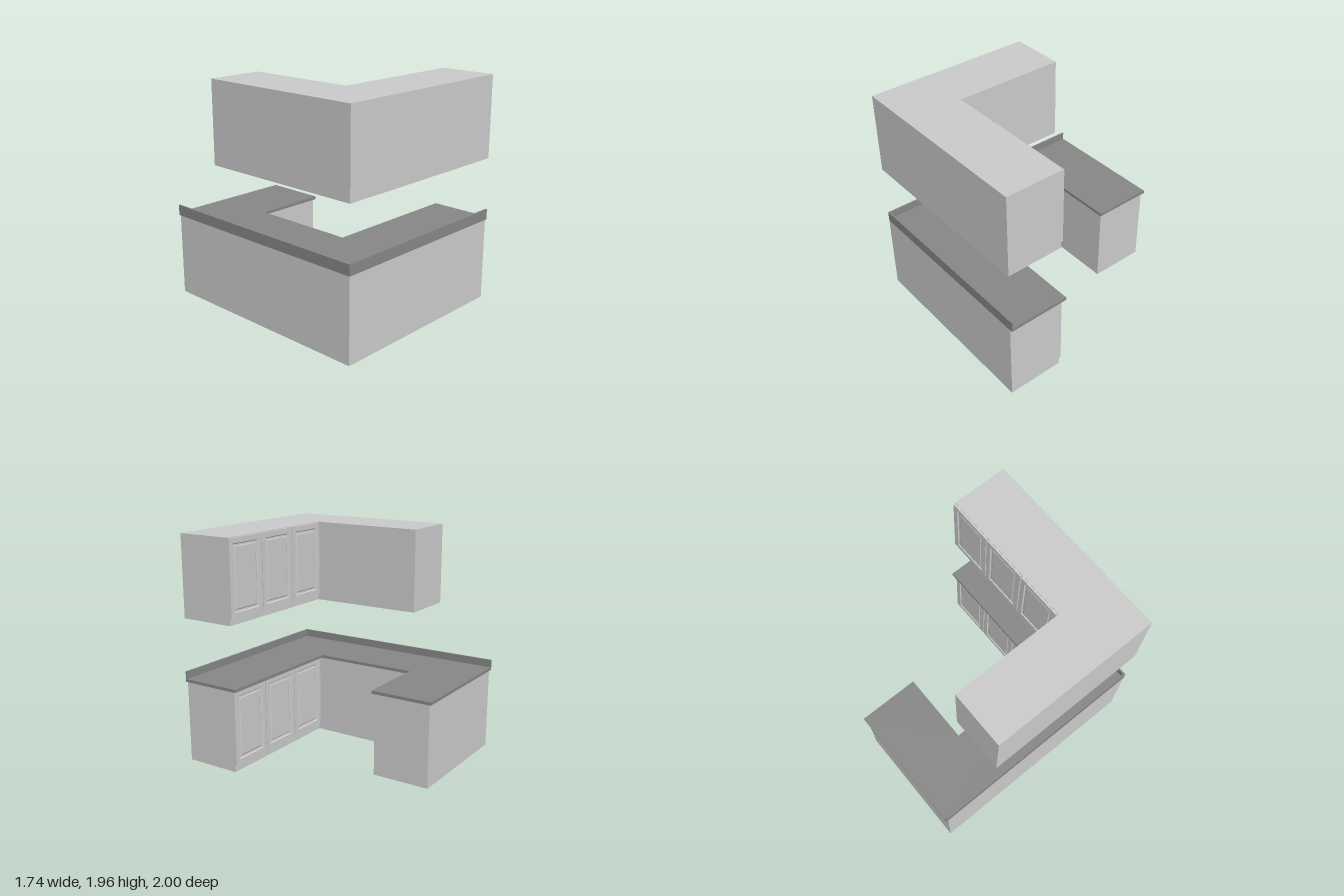
import * as THREE from 'three';

const grey = new THREE.MeshStandardMaterial({ color: 0xcccccc });
const dark = new THREE.MeshStandardMaterial({ color: 0x878787 });

function add(parent, name, geometry, material, x = 0, y = 0, z = 0) {
  const mesh = new THREE.Mesh(geometry, material);
  mesh.name = name;
  mesh.position.set(x, y, z);
  parent.add(mesh);
  return mesh;
}

// Solid from a floor plan of [x, z] corners
function prism(plan, height) {
  const shape = new THREE.Shape(plan.map(([x, z]) => new THREE.Vector2(x, -z)));
  return new THREE.ExtrudeGeometry(shape, { depth: height, bevelEnabled: false }).rotateX(-Math.PI / 2);
}

// Door of nested rectangular rings [inset, depth], closed by a flat panel; faces -z
function doorGeometry(w, h, thickness) {
  const rings = [
    [0, 0], [0, thickness], [0.045, thickness], [0.052, thickness - 0.009],
    [0.066, thickness - 0.009], [0.074, thickness - 0.005],
  ];
  const corners = [[-1, -1], [1, -1], [1, 1], [-1, 1]];
  const pos = [], index = [];
  for (const [inset, d] of rings)
    for (const [sx, sy] of corners) pos.push(sx * (w / 2 - inset), sy * (h / 2 - inset), d);
  for (let r = 0; r < rings.length - 1; r++)
    for (let i = 0; i < 4; i++) {
      const a = r * 4 + i, b = r * 4 + (i + 1) % 4;
      index.push(a, b, b + 4, a, b + 4, a + 4);
    }
  const c = (rings.length - 1) * 4;
  index.push(c, c + 1, c + 2, c, c + 2, c + 3);
  const indexed = new THREE.BufferGeometry();
  indexed.setAttribute('position', new THREE.Float32BufferAttribute(pos, 3));
  indexed.setIndex(index);
  const geometry = indexed.toNonIndexed().rotateY(Math.PI);
  geometry.computeVertexNormals();
  return geometry;
}

// Row of three doors along the inner face of the front run
function doorRow(parent, name, yBottom, yTop) {
  const row = new THREE.Group();
  row.name = name;
  const pitch = 0.4083, gap = 0.009, h = yTop - yBottom;
  const geometry = doorGeometry(pitch - gap, h, 0.018);
  for (let i = 0; i < 3; i++)
    add(row, 'door', geometry, grey, -0.38 + gap + (pitch - gap) / 2 + i * pitch, yBottom + h / 2, 0.508);
  parent.add(row);
}

export function createModel() {
  const model = new THREE.Group();
  model.name = 'kitchenCabinets';

  // U-shaped base cabinets
  add(model, 'baseCabinets', prism([
    [-0.87, 1], [0.845, 1], [0.845, 0.508], [-0.38, 0.508],
    [-0.38, -0.48], [0.25, -0.48], [0.25, -0.98], [-0.87, -0.98],
  ], 0.71), grey);
  doorRow(model, 'baseDoors', 0.06, 0.703);

  // Overhanging worktop with an upstand along the two wall sides
  add(model, 'worktop', prism([
    [-0.87, 1], [0.867, 1], [0.867, 0.462], [-0.363, 0.462],
    [-0.363, -0.462], [0.27, -0.462], [0.27, -1], [-0.87, -1],
  ], 0.026), dark, 0, 0.71);
  add(model, 'upstand', prism([
    [-0.87, 1], [0.867, 1], [0.867, 0.985], [-0.855, 0.985], [-0.855, -1], [-0.87, -1],
  ], 0.066), dark, 0, 0.736);

  // L-shaped wall cabinets
  add(model, 'wallCabinets', prism([
    [-0.87, 1], [0.845, 1], [0.845, 0.508], [-0.38, 0.508], [-0.38, -0.48], [-0.87, -0.48],
  ], 0.705), grey, 0, 1.255);
  doorRow(model, 'wallDoors', 1.31, 1.955);

  return model;
}
